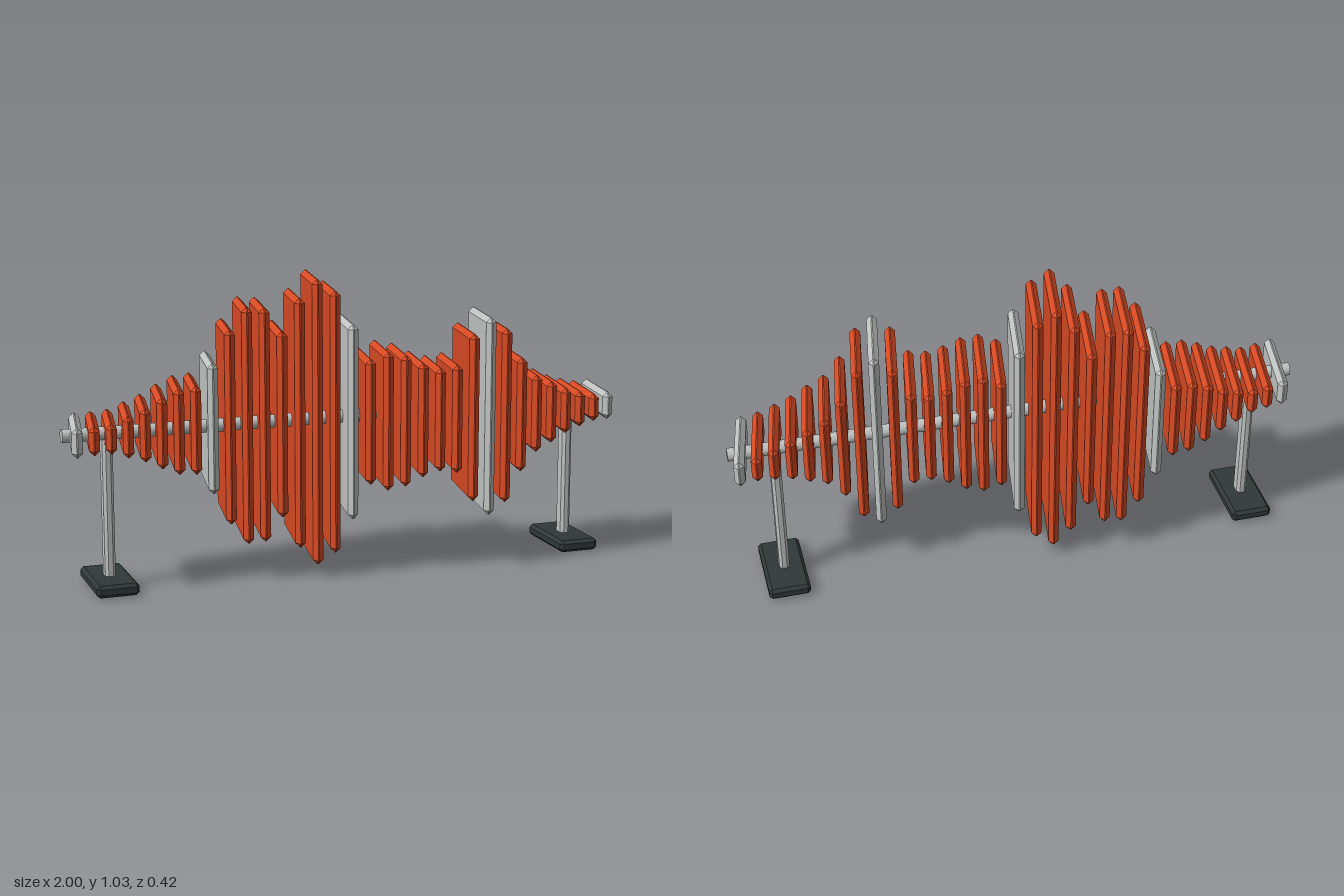
import * as THREE from 'three';
import { ConvexGeometry } from 'three/addons/geometries/ConvexGeometry.js';

const material = (name, color) => {
  const m = new THREE.MeshStandardMaterial({ color });
  m.name = name;
  return m;
};

// Box with every edge and corner cut by a flat chamfer c
function chamferBox(w, h, d, c) {
  const points = [];
  for (const sx of [-1, 1]) for (const sy of [-1, 1]) for (const sz of [-1, 1]) {
    for (let axis = 0; axis < 3; axis++) {
      const half = [w / 2, h / 2, d / 2].map((v, i) => (i === axis ? v : v - c));
      points.push(new THREE.Vector3(sx * half[0], sy * half[1], sz * half[2]));
    }
  }
  return new ConvexGeometry(points);
}

export function createModel() {
  const group = new THREE.Group();
  group.name = 'slatSculpture';
  const orange = material('burntOrange', 0xd84a24);
  const grey = material('paleGrey', 0xbfc4c2);
  const dark = material('charcoal', 0x303838);

  const add = (name, geometry, mat, x, y, z) => {
    const mesh = new THREE.Mesh(geometry, mat);
    mesh.name = name;
    mesh.position.set(x, y, z);
    group.add(mesh);
    return mesh;
  };

  const axisY = 0.54, spacing = 0.0595;

  // Top edge of each slat, from right end to left end; slats are centred on the rod
  const tops = [
    0.59, 0.588, 0.59, 0.61, 0.63, 0.66, 0.685, 0.69,
    0.763, 0.873, 0.946, 0.942, 0.86, 0.97, 1.033, 0.993,
    0.877, 0.757, 0.78, 0.768, 0.738, 0.72, 0.728, 0.832,
    0.886, 0.845, 0.74, 0.675, 0.648, 0.62, 0.602, 0.588, 0.588,
  ];

  // Slats: evenly spaced, slightly turned, swaying along one sine wave; every eighth is grey
  tops.forEach((top, n) => {
    const accent = n % 8 === 0;
    const slat = add(
      accent ? 'accentSlat' : 'slat',
      chamferBox(0.036, 2 * (top - axisY), 0.292, 0.016),
      accent ? grey : orange,
      (n - 16) * spacing, axisY, -0.065 * Math.sin((2 * Math.PI * n) / tops.length),
    );
    slat.rotation.y = -0.17;
  });

  // Rod through all slats
  add('rod', new THREE.CylinderGeometry(0.023, 0.023, 2, 16), grey, 0, axisY, 0)
    .rotation.z = Math.PI / 2;

  // Two stands
  for (const side of [-1, 1]) {
    add('standPost', chamferBox(0.036, 0.53, 0.052, 0.01), grey, side * 0.845, 0.265, -0.021);
    add('standBase', chamferBox(0.145, 0.042, 0.278, 0.011), dark, side * 0.845, 0.026, -0.021);
  }
  return group;
}
